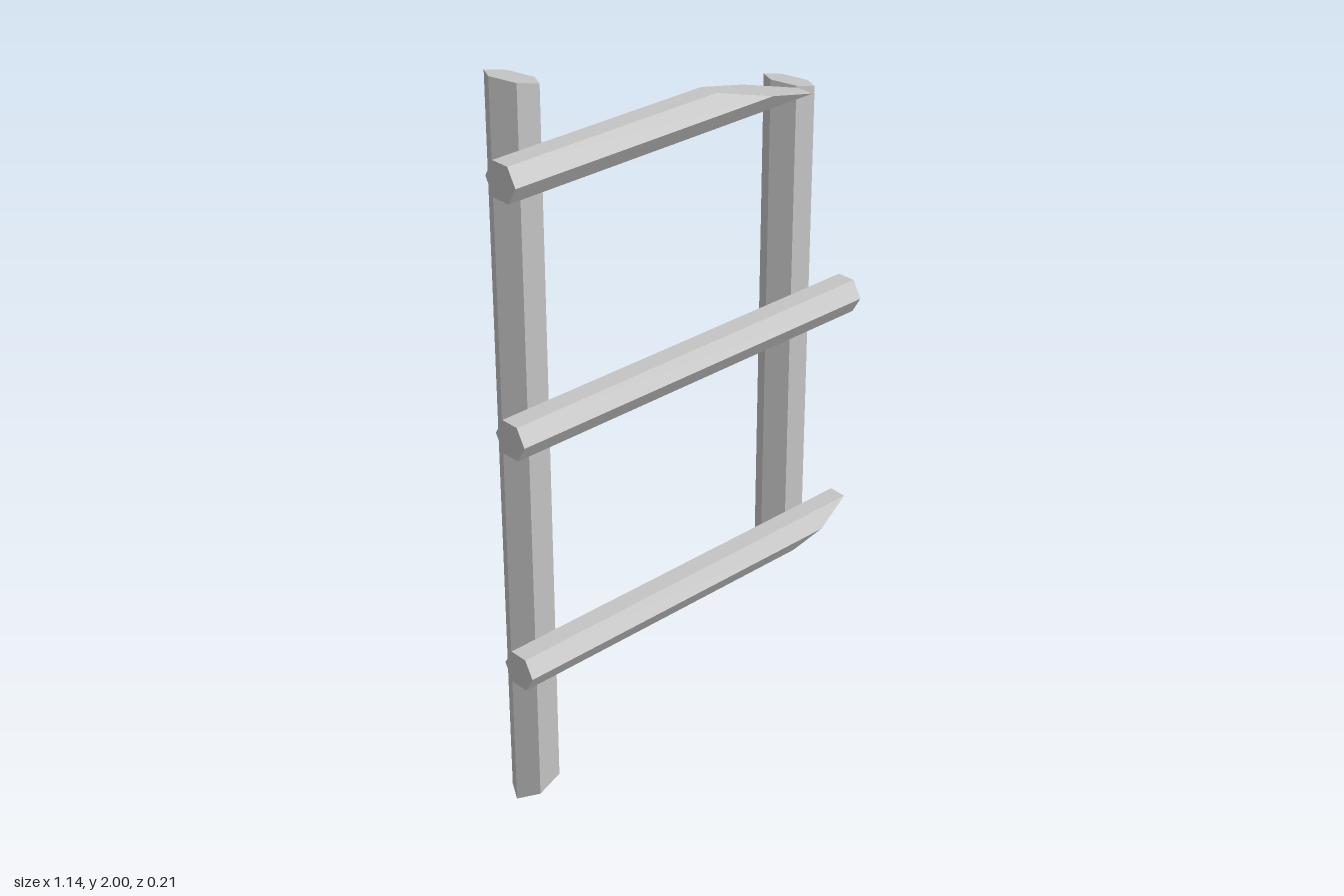
import * as THREE from 'three';

const grey = new THREE.MeshStandardMaterial({ color: 0xc4c4c4 });
grey.name = 'plain grey';

// The frame is trimmed by two slanted planes, one above and one below
const UPPER = { y: 1.86, slope: -0.275 };
const LOWER = { y: 0.2505, slopeX: 0.46, slopeZ: 0.28 };
const topAt = (x) => UPPER.y + UPPER.slope * x;
const bottomAt = (x, z) => LOWER.y + LOWER.slopeX * x + LOWER.slopeZ * z;

// Six-sided bar whose vertices are slid along its axis by a rule
function bar(name, geometry, rule) {
  const p = geometry.attributes.position;
  const v = new THREE.Vector3();
  for (let i = 0; i < p.count; i++) {
    v.fromBufferAttribute(p, i);
    rule(v);
    p.setXYZ(i, v.x, v.y, v.z);
  }
  const flat = geometry.toNonIndexed();
  flat.computeVertexNormals();
  const mesh = new THREE.Mesh(flat, grey);
  mesh.name = name;
  return mesh;
}

// Upright: flat sides face front and back, both ends cut on the slant
function post(name, x) {
  const g = new THREE.CylinderGeometry(0.0657, 0.0657, 1, 6);
  g.rotateY(Math.PI / 6).translate(x, 0, -0.05);
  return bar(name, g, (v) => {
    v.y = v.y > 0 ? topAt(v.x) : bottomAt(v.x, v.z);
  });
}

// Crossbar: flat top and bottom, its +x end given by endAt(y, z)
function rail(name, y, endAt) {
  const g = new THREE.CylinderGeometry(0.052, 0.052, 1, 6);
  g.rotateZ(-Math.PI / 2).translate(0, y, 0.052);
  return bar(name, g, (v) => {
    v.x = v.x > 0 ? Math.min(0.57, endAt(v.y, v.z)) : -0.57;
  });
}

export function createModel() {
  const group = new THREE.Group();
  group.name = 'trimmed ladder frame';
  group.add(
    post('rightPost', -0.445),
    post('leftPost', 0.4425),
    rail('topRail', 1.797, (y) => (y - UPPER.y) / UPPER.slope),
    rail('middleRail', 1.142, () => 0.57),
    rail('bottomRail', 0.488, (y, z) => (y - LOWER.y - LOWER.slopeZ * z) / LOWER.slopeX)
  );
  return group;
}
